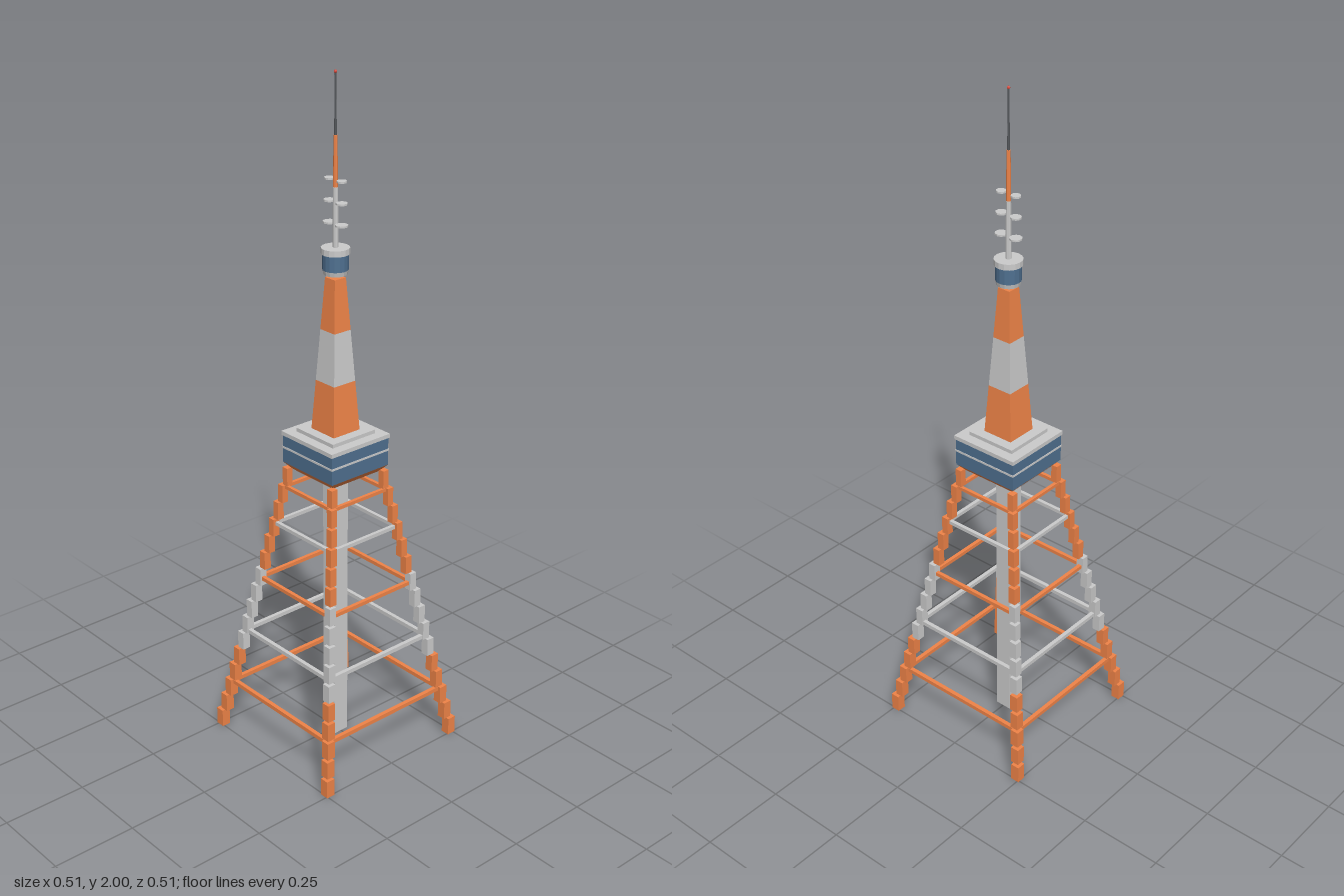
import * as THREE from 'three';

const mat = (color) => new THREE.MeshStandardMaterial({ color, flatShading: true });

export function createModel() {
  const root = new THREE.Group();
  const orange = mat(0xf08448), grey = mat(0xcccccc), blue = mat(0x4f7090);
  const dark = mat(0x55585c), red = mat(0xd84a3c);

  const add = (name, geo, material, x, y, z, parent = root) => {
    const mesh = new THREE.Mesh(geo, material);
    mesh.name = name;
    mesh.position.set(x, y, z);
    parent.add(mesh);
    return mesh;
  };
  // Square slab between two heights
  const slab = (name, half, y0, y1, material) =>
    add(name, new THREE.BoxGeometry(half * 2, y1 - y0, half * 2), material, 0, (y0 + y1) / 2, 0);
  // Square frustum, sides facing the axes
  const frustum = (name, h0, h1, y0, y1, material) => {
    const geo = new THREE.CylinderGeometry(h1 * Math.SQRT2, h0 * Math.SQRT2, y1 - y0, 4);
    geo.rotateY(Math.PI / 4);
    return add(name, geo, material, 0, (y0 + y1) / 2, 0);
  };
  // Round section between two heights
  const round = (name, r0, r1, y0, y1, material, sides = 16) =>
    add(name, new THREE.CylinderGeometry(r1, r0, y1 - y0, sides), material, 0, (y0 + y1) / 2, 0);

  // Four stepped legs leaning inward
  const spread = (y) => 0.2465 - 0.178 * y;
  const steps = 16, legTop = 0.87, stepH = legTop / steps;
  for (const sx of [-1, 1]) for (const sz of [-1, 1]) {
    const leg = new THREE.Group();
    leg.name = `${sz > 0 ? 'front' : 'back'}${sx > 0 ? 'Left' : 'Right'}Leg`;
    for (let i = 0; i < steps; i++) {
      const y = (i + 0.5) * stepH, c = spread(y), w = 0.027 - 0.007 * i / (steps - 1);
      add('legSegment', new THREE.BoxGeometry(w, stepH, w), i >= 5 && i < 10 ? grey : orange,
        sx * c, y, sz * c, leg);
    }
    root.add(leg);
  }

  // Horizontal brace rings
  [0.155, 0.335, 0.513, 0.693, 0.81].forEach((y, i) => {
    const ring = new THREE.Group(), c = spread(y), t = 0.0125 - 0.0006 * i;
    ring.name = 'braceRing';
    for (const s of [-1, 1]) {
      add('crossBrace', new THREE.BoxGeometry(c * 2, t, t), i % 2 ? grey : orange, 0, y, s * c, ring);
      add('sideBrace', new THREE.BoxGeometry(t, t, c * 2), i % 2 ? grey : orange, s * c, y, 0, ring);
    }
    root.add(ring);
  });

  // Central lift shaft
  slab('liftShaft', 0.025, 0, 0.87, grey);

  // Main observation deck
  frustum('deckUnderside', 0.085, 0.105, 0.864, 0.886, orange);
  slab('lowerWindows', 0.105, 0.886, 0.93, blue);
  slab('windowDivider', 0.1065, 0.93, 0.936, grey);
  slab('upperWindows', 0.105, 0.936, 0.97, blue);
  slab('deckRoof', 0.108, 0.97, 0.982, grey);
  slab('roofHouse', 0.078, 0.982, 0.993, grey);

  // Tapered upper tower in three colour bands
  const towerHalf = (y) => 0.048 - (0.028 * (y - 0.99)) / 0.45;
  [0.99, 1.14, 1.29].forEach((y, i) =>
    frustum('upperTower', towerHalf(y), towerHalf(y + 0.15), y, y + 0.15, i === 1 ? grey : orange));

  // Round top deck
  round('topDeckBase', 0.033, 0.036, 1.45, 1.463, grey);
  round('topDeckWindows', 0.036, 0.036, 1.463, 1.508, blue);
  round('topDeckRoof', 0.04, 0.04, 1.508, 1.525, grey);

  // Antenna mast
  round('lowerMast', 0.008, 0.007, 1.525, 1.69, grey, 8);
  round('middleMast', 0.0065, 0.0055, 1.69, 1.83, orange, 8);
  round('upperMast', 0.0035, 0.0025, 1.83, 1.995, dark, 8);
  add('beacon', new THREE.SphereGeometry(0.0045, 8, 6), red, 0, 1.9955, 0);

  // Paired antenna discs
  [1.59, 1.65, 1.71].forEach((y, i) => {
    const r = 0.018 - 0.002 * i;
    for (const s of [-1, 1])
      add('antennaDisc', new THREE.CylinderGeometry(r, r, 0.005, 10), grey, s * 0.025, y, 0);
  });
  return root;
}
